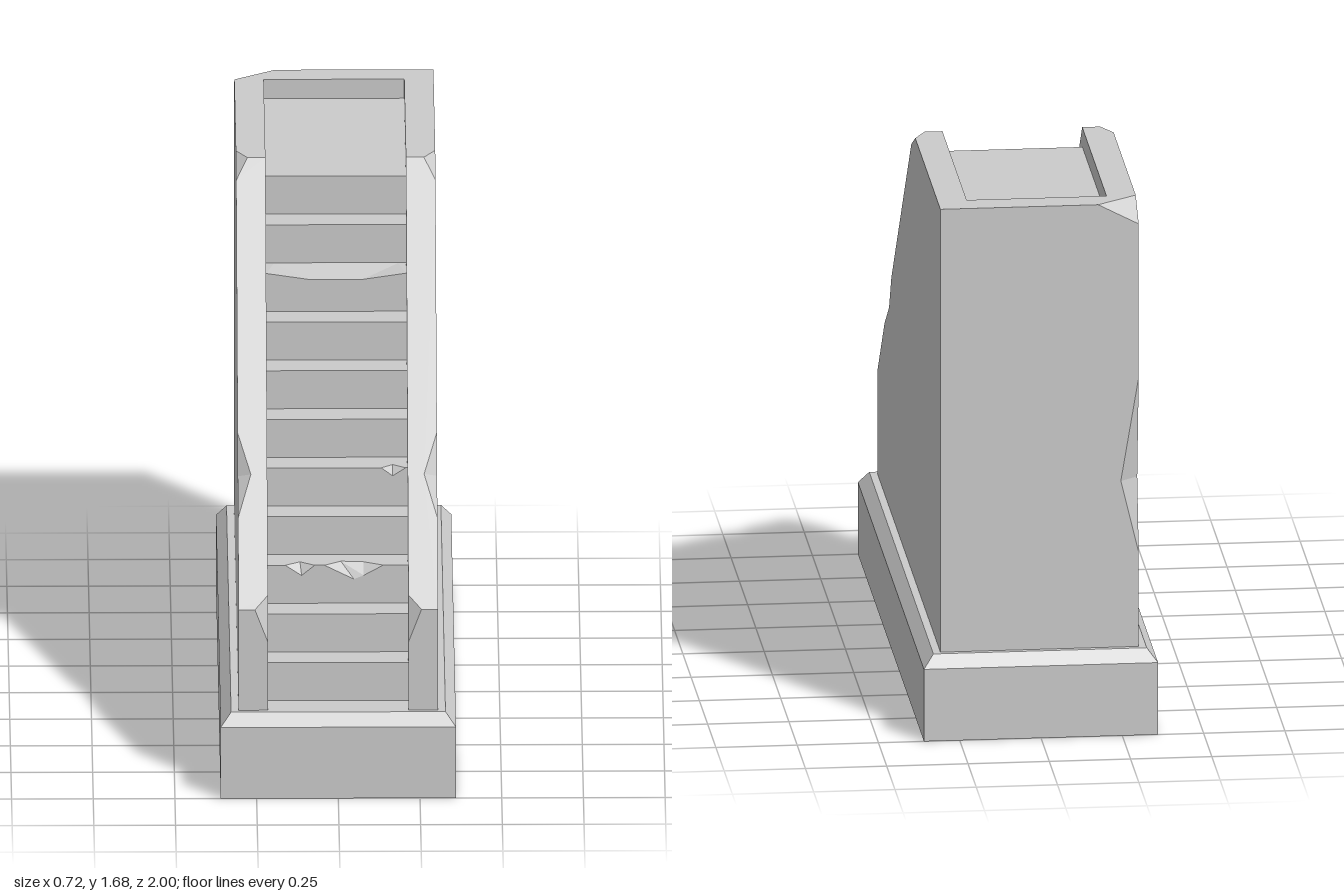
import * as THREE from 'three';

const material = new THREE.MeshStandardMaterial({ color: 0xcccccc, flatShading: true });

// Collects flat polygons; each face is wound to face its outward direction.
class Faces {
  positions = [];
  add(points, outward) {
    const p = points.map((a) => new THREE.Vector3(...a));
    const out = new THREE.Vector3(...outward);
    const n = new THREE.Vector3();
    p.forEach((a, i) => n.add(a.clone().cross(p[(i + 1) % p.length])));
    n.normalize();
    const u = p[1].clone().sub(p[0]).normalize();
    const v = n.clone().cross(u);
    const flat = p.map((a) => new THREE.Vector2(a.dot(u), a.dot(v)));
    for (const [a, b, c] of THREE.ShapeUtils.triangulateShape(flat, [])) {
      const normal = p[b].clone().sub(p[a]).cross(p[c].clone().sub(p[a]));
      const order = normal.dot(out) < 0 ? [a, c, b] : [a, b, c];
      order.forEach((i) => this.positions.push(p[i].x, p[i].y, p[i].z));
    }
  }
  mesh(name) {
    const g = new THREE.BufferGeometry();
    g.setAttribute('position', new THREE.Float32BufferAttribute(this.positions, 3));
    g.computeVertexNormals();
    const m = new THREE.Mesh(g, material);
    m.name = name;
    return m;
  }
}

const FLOOR = 0.27, TOP = 1.685, OUT = 0.305, IN = 0.215, END = 0.955, BACK = -0.865;

// Plinth with a tapered ledge on top
function makeBase() {
  const base = new THREE.Group();
  base.name = 'base';
  const plinth = new THREE.Mesh(new THREE.BoxGeometry(0.72, 0.23, 2).translate(0, 0.115, 0), material);
  plinth.name = 'plinth';
  const g = new THREE.BoxGeometry(0.72, 0.04, 2).toNonIndexed();
  const pos = g.attributes.position;
  for (let i = 0; i < pos.count; i++) {
    if (pos.getY(i) > 0) pos.setXYZ(i, Math.sign(pos.getX(i)) * 0.328, 0.02, Math.sign(pos.getZ(i)) * 0.972);
  }
  g.translate(0, 0.25, 0);
  g.computeVertexNormals();
  const ledge = new THREE.Mesh(g, material);
  ledge.name = 'ledge';
  base.add(plinth, ledge);
  return base;
}

// Sloped side wall with chipped edges; s = 1 is the model's left
function makeWall(s) {
  const f = new Faces();
  const add = (pts, o) => f.add(pts.map(([x, y, z]) => [s * x, y, z]), [s * o[0], o[1], o[2]]);
  const chipLow = [OUT, 0.816, 0.735], chipHigh = [OUT, 1.022, 0.53];
  const chipSide = [OUT, 0.905, 0.6], chipTop = [0.265, 0.9215, 0.63];
  const crestLow = [OUT, 1.63, -0.075], crestBack = [OUT, TOP, -0.195], crest = [0.27, TOP, -0.13];
  const footIn = [IN, 0.63, 0.92], footOut = [0.255, 0.595, END], footLow = [IN, 0.49, END];
  const footEdge = [OUT, 0.595, END];

  // outer face; the right wall is also broken along its rear edge
  const rear = s > 0
    ? [[OUT, TOP, -END]]
    : [[OUT, TOP, BACK], [OUT, 1.62, -END], [OUT, 1.13, -END], [OUT, 0.8, -0.91], [OUT, 0.57, -END]];
  add([[OUT, FLOOR, END], footEdge, chipLow, chipSide, chipHigh, crestLow, crestBack, ...rear,
    [OUT, FLOOR, -END]], [1, 0, 0]);
  // sloped coping, front end, inner face
  add([footEdge, chipLow, chipTop, chipHigh, crestLow, crest, [IN, TOP, -0.13], footIn, footOut], [0, 1, 1]);
  add([[OUT, FLOOR, END], footEdge, footOut, footLow, [IN, FLOOR, END]], [0, 0, 1]);
  add([[IN, FLOOR, END], footLow, footIn, [IN, TOP, -0.13], [IN, TOP, BACK], [IN, FLOOR, BACK]], [-1, 0, 0]);
  // chips
  add([chipLow, chipTop, chipSide], [1, 1, 1]);
  add([chipTop, chipHigh, chipSide], [1, 1, 0.5]);
  add([crestLow, crestBack, crest], [1, 1, 1]);
  add([footIn, footOut, footLow], [-1, 1, 1]);
  return f.mesh(s > 0 ? 'leftWall' : 'rightWall');
}

// Rear wall and the level U-shaped coping around the landing
function makeBack() {
  const f = new Faces();
  const top = [[IN, -0.13], [0.27, -0.13], [OUT, -0.195], [OUT, -END], [-0.18, -END], [-OUT, BACK],
    [-OUT, -0.195], [-0.27, -0.13], [-IN, -0.13], [-IN, BACK], [IN, BACK]];
  f.add(top.map(([x, z]) => [x, TOP, z]), [0, 1, 0]);
  const back = [[OUT, FLOOR], [OUT, TOP], [-0.18, TOP], [-OUT, 1.62], [-OUT, 1.13], [-0.25, 0.8],
    [-OUT, 0.57], [-OUT, FLOOR]];
  f.add(back.map(([x, y]) => [x, y, -END]), [0, 0, -1]);
  f.add([[-IN, 1.6, BACK], [IN, 1.6, BACK], [IN, TOP, BACK], [-IN, TOP, BACK]], [0, 0, 1]);
  // broken corner and edge
  f.add([[-0.18, TOP, -END], [-OUT, TOP, BACK], [-OUT, 1.62, -END]], [-1, 1, -1]);
  for (const y of [1.13, 0.57]) {
    f.add([[-OUT, y, -END], [-0.25, 0.8, -END], [-OUT, 0.8, -0.91]], [-1, 0, -1]);
  }
  return f.mesh('backWall');
}

// Chips per step: start x, end x, riser points [x, drop], tread points [x, depth]
const stepChips = {
  2: [
    { a: -0.16, b: -0.07, riser: [[-0.11, 0.033]], tread: [[-0.115, 0.033]] },
    { a: -0.04, b: 0.14, riser: [[0.05, 0.045], [0.08, 0.033]], tread: [[0.01, 0.038], [0.08, 0.032]] },
  ],
  4: [{ a: 0.135, b: 0.21, riser: [[0.17, 0.026]], tread: [[0.17, 0.03]] }],
  8: [{ a: -0.214, b: 0.214, riser: [[-0.08, 0.02], [0.08, 0.02]], tread: [[-0.19, 0.095], [0.19, 0.095]] }],
};

// Eleven steps; the last tread is the landing
function makeStairs() {
  const f = new Faces();
  const count = 11, rise = 0.123, run = 0.1;
  for (let i = 0; i < count; i++) {
    const z = 0.865 - i * run, y0 = FLOOR + i * rise, y = y0 + rise;
    const zEnd = i === count - 1 ? BACK : z - run;
    const riser = [[-IN, y0, z], [-IN, y, z]];
    const tread = [[-IN, y, zEnd], [-IN, y, z]];
    for (const chip of stepChips[i] ?? []) {
      const a = [chip.a, y, z], b = [chip.b, y, z];
      const r = chip.riser.map(([x, d]) => [x, y - d, z]);
      const t = chip.tread.map(([x, d]) => [x, y, z - d]);
      riser.push(a, ...r, b);
      tread.push(a, ...t, b);
      const out = [0, 1, 1];
      f.add([a, r[0], t[0]], out);
      for (let k = 0; k + 1 < r.length; k++) {
        f.add([r[k], r[k + 1], t[k]], out);
        f.add([r[k + 1], t[k + 1], t[k]], out);
      }
      f.add([r.at(-1), b, t.at(-1)], out);
    }
    riser.push([IN, y, z], [IN, y0, z]);
    tread.push([IN, y, z], [IN, y, zEnd]);
    f.add(riser, [0, 0, 1]);
    f.add(tread, [0, 1, 0]);
  }
  return f.mesh('stairs');
}

export function createModel() {
  const model = new THREE.Group();
  model.name = 'stoneStaircase';
  model.add(makeBase(), makeWall(1), makeWall(-1), makeBack(), makeStairs());
  return model;
}
